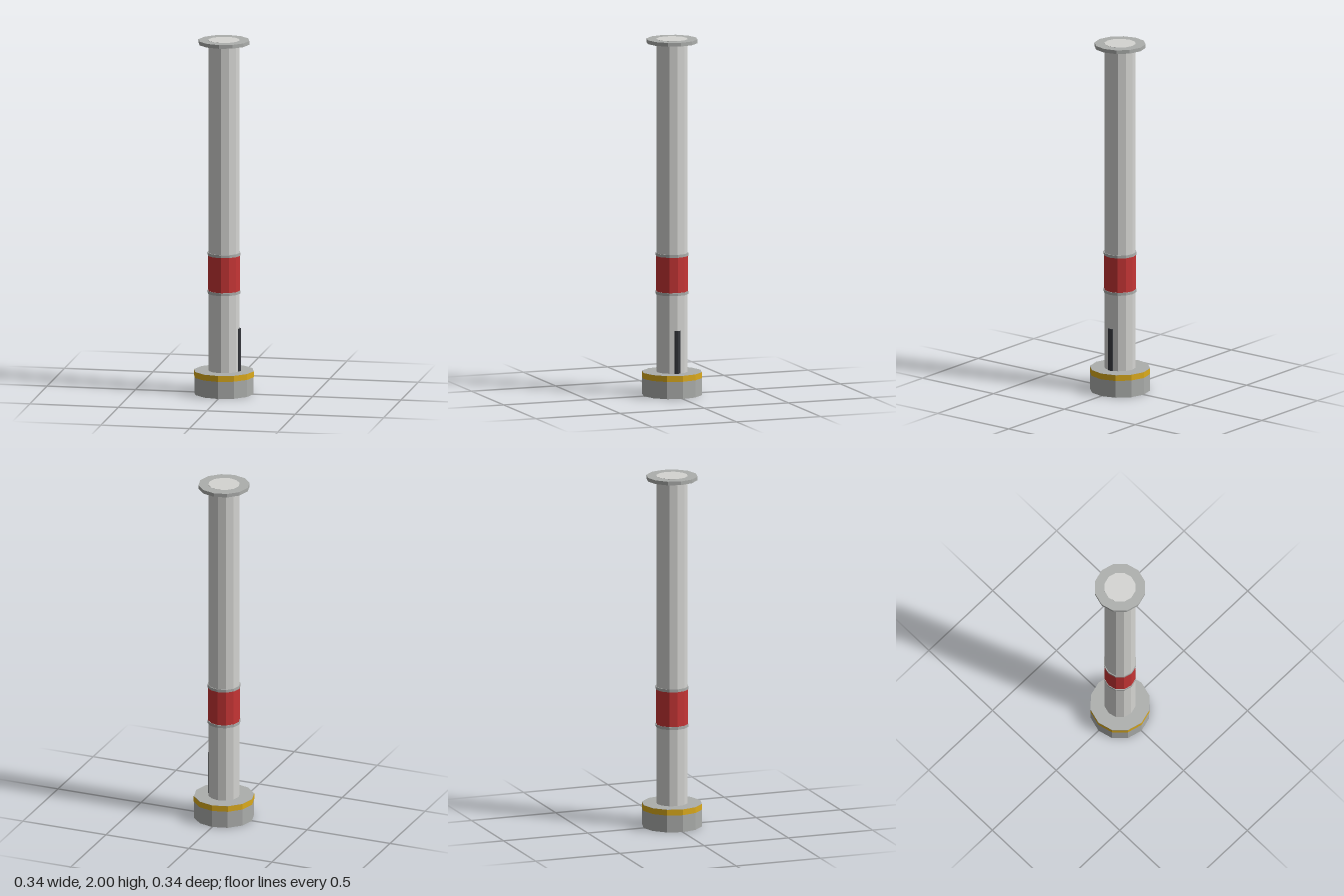
import * as THREE from 'three';

const SIDES = 12;

function material(name, color) {
  const m = new THREE.MeshStandardMaterial({ color, flatShading: true });
  m.name = name;
  return m;
}

export function createModel() {
  const group = new THREE.Group();
  const paleGrey = material('paleGrey', 0xd4d4d1);
  const steelGrey = material('steelGrey', 0xacaeac);
  const red = material('red', 0xc63535);
  const yellow = material('yellow', 0xdcab1c);
  const darkGrey = material('darkGrey', 0x34363b);

  // upright faceted cylinder between two heights
  function drum(name, radius, y0, y1, mat, { x = 0, sides = SIDES, open = false } = {}) {
    const geometry = new THREE.CylinderGeometry(radius, radius, y1 - y0, sides, 1, open);
    const mesh = new THREE.Mesh(geometry, mat);
    mesh.name = name;
    mesh.position.set(x, (y0 + y1) / 2, 0);
    group.add(mesh);
  }

  // foot with a painted rim
  drum('base', 0.168, 0, 0.13, steelGrey);
  drum('baseRim', 0.1695, 0.097, 0.13, yellow, { open: true });

  // main column and its flange; the column end shows through the flange
  drum('column', 0.088, 0.13, 2, paleGrey);
  drum('topFlange', 0.143, 1.978, 1.999, steelGrey);

  // red sleeve between two collars
  drum('redBand', 0.0892, 0.58, 0.785, red, { open: true });
  for (const y of [0.575, 0.79]) drum('collar', 0.0925, y - 0.008, y + 0.008, steelGrey);

  // dark conduit on the left side
  drum('conduit', 0.021, 0.13, 0.37, darkGrey, { x: 0.0745, sides: 8 });

  return group;
}
